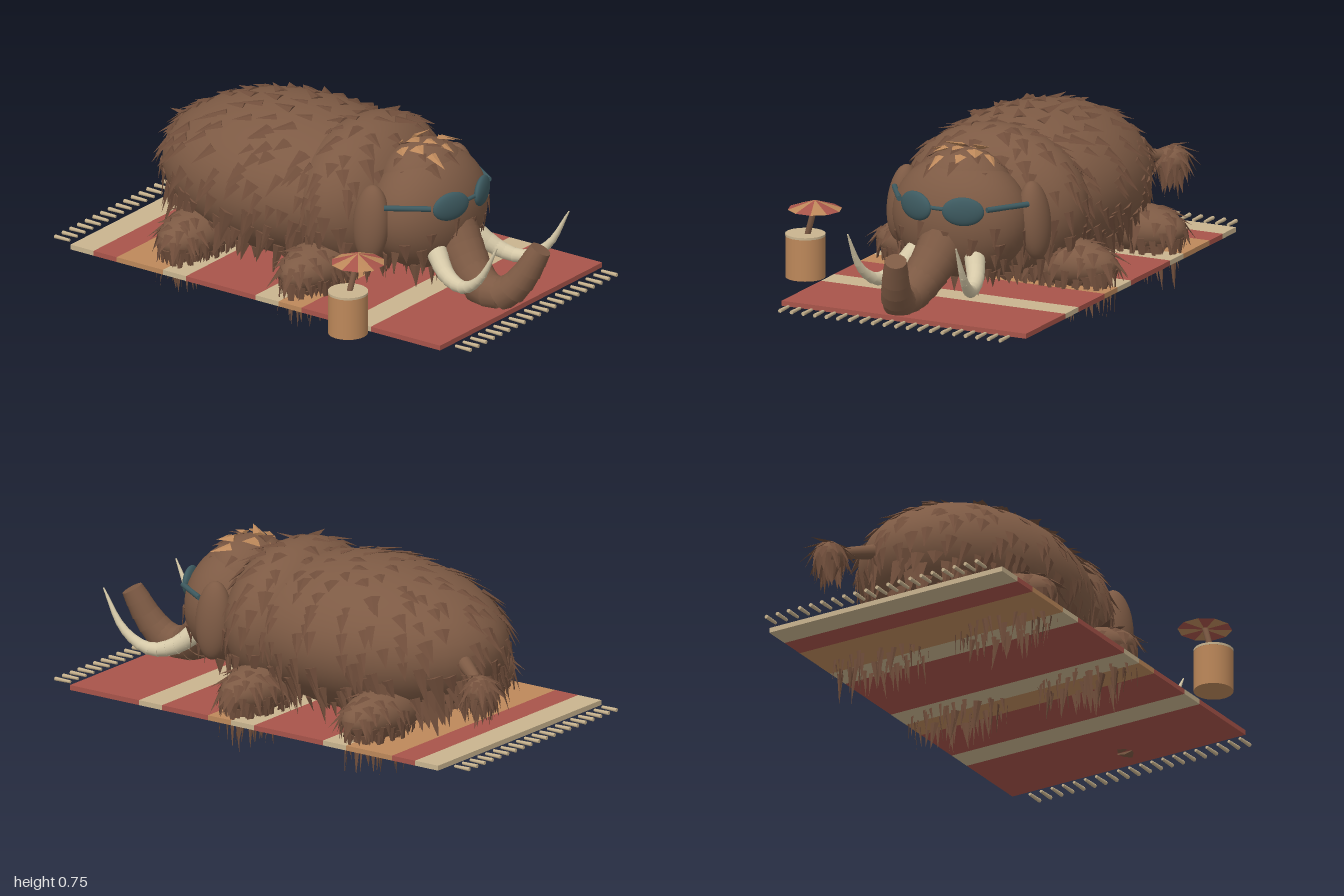
import * as THREE from 'three';
import { mergeGeometries } from 'three/addons/utils/BufferGeometryUtils.js';

const mat = (name, color) => {
  const m = new THREE.MeshStandardMaterial({ color });
  m.name = name;
  return m;
};
const V = (x, y, z) => new THREE.Vector3(x, y, z);

export function createModel() {
  const model = new THREE.Group();
  const brown = mat('brown hide', 0x7d5a44);
  const fur = mat('fur brown', 0x704e3b);
  const red = mat('blanket red', 0xa8544a);
  const beige = mat('blanket beige', 0xc9b48f);
  const orange = mat('warm orange', 0xbd885a);
  const ivory = mat('ivory', 0xd6c9a8);
  const teal = mat('dark teal', 0x3d5a60);
  const C = -0.09; // z of the animal's centre line

  let seed = 7;
  const rnd = () => (seed = (seed * 16807) % 2147483647) / 2147483647;

  const add = (name, geo, material, pos = [0, 0, 0], parent = model) => {
    const m = new THREE.Mesh(geo, material);
    m.name = name;
    m.position.set(...pos);
    parent.add(m);
    return m;
  };
  const blob = (name, pos, radii, material = brown) =>
    add(name, new THREE.SphereGeometry(1, 36, 24).scale(...radii), material, pos);

  // Cylinder running from a to b
  const rod = (a, b, ra, rb, sides = 16) => {
    const d = b.clone().sub(a);
    const g = new THREE.CylinderGeometry(rb, ra, d.length(), sides);
    g.applyQuaternion(new THREE.Quaternion().setFromUnitVectors(V(0, 1, 0), d.normalize()));
    return g.translate((a.x + b.x) / 2, (a.y + b.y) / 2, (a.z + b.z) / 2);
  };
  // Overlapping tapered rings along a curve
  const ringed = (name, points, n, r0, r1, material) => {
    const curve = new THREE.CatmullRomCurve3(points);
    const rings = [];
    for (let i = 0; i < n; i++) {
      const r = (t) => THREE.MathUtils.lerp(r0, r1, t);
      const a = curve.getPointAt(i / n), b = curve.getPointAt(Math.min(1, (i + 1.25) / n));
      rings.push(rod(a, b, r(i / n), r((i + 1) / n) * 0.94));
    }
    return add(name, mergeGeometries(rings), material);
  };

  // Flat pointed locks scattered over an ellipsoid, combed downwards
  const locks = (name, pos, radii, o) => {
    const parts = [];
    for (let i = 0; i < o.count; i++) {
      const h = 1 - (2 * (i + 0.5)) / o.count;
      const a = i * 2.39996 + rnd() * 0.5;
      const s = Math.sqrt(1 - h * h);
      const u = V(s * Math.cos(a), h, s * Math.sin(a));
      if (h < (o.from ?? -1) || h > (o.to ?? 1)) continue;
      const p = V(u.x * radii[0] + pos[0], u.y * radii[1] + pos[1], u.z * radii[2] + pos[2]);
      const n = V(u.x / radii[0], u.y / radii[1], u.z / radii[2]).normalize();
      const g = V(o.sweep ?? -0.3, -1, (rnd() - 0.5) * 0.4).normalize();
      const d = g.clone();
      if (n.y > -0.3) d.addScaledVector(n, -g.dot(n)).normalize().addScaledVector(n, o.lift ?? 0.16);
      d.normalize();
      let len = o.len * (0.7 + rnd() * 0.6);
      const room = (p.y - (o.floor ?? 0.15)) / Math.max(0.01, -d.y);
      if (d.y < -0.1) len = Math.min(len, room);
      if (len < 0.02) continue;
      const side = d.clone().cross(n).normalize();
      const flat = side.clone().cross(d).normalize();
      const w = o.width * (0.7 + rnd() * 0.6);
      const lock = new THREE.ConeGeometry(w, len, 4).toNonIndexed();
      lock.scale(1, 1, 0.28).translate(0, len / 2, 0);
      lock.applyMatrix4(new THREE.Matrix4().makeBasis(side, d, flat).setPosition(p));
      lock.computeVertexNormals();
      parts.push(lock);
    }
    return add(name, mergeGeometries(parts), o.material ?? fur);
  };

  // Striped blanket: colour and width in units of one sixteenth
  const stripes = [[beige, 1], [red, 1], [orange, 2], [beige, 1], [red, 3],
    [beige, 1], [orange, 1], [red, 2], [beige, 1], [red, 3]];
  const unit = 1.764 / 16;
  let x = -0.89;
  for (const [material, k] of stripes) {
    const w = k * unit;
    add('blanketStripe', new THREE.BoxGeometry(w, 0.02, 1.06), material, [x + w / 2, 0.14, -0.075]);
    x += w;
  }
  // Tassels at both ends
  const tassels = [];
  for (let i = 0; i < 20; i++) {
    const z = -0.55 + i * 0.0503;
    tassels.push(rod(V(-0.93, 0.142, z), V(-1, 0.142, z), 0.006, 0.008, 6));
    tassels.push(rod(V(0.912, 0.142, z), V(0.985, 0.142, z), 0.006, 0.008, 6));
  }
  add('tassels', mergeGeometries(tassels), beige);

  // Body, shoulders and head with their coats
  const body = [[-0.2, 0.44, C], [0.58, 0.3, 0.41]];
  const shoulder = [[0.14, 0.45, C - 0.01], [0.24, 0.3, 0.38]];
  const head = [[0.42, 0.45, C], [0.2, 0.24, 0.28]];
  const crown = [[0.4, 0.55, C], [0.16, 0.165, 0.2]];
  blob('body', ...body);
  blob('shoulders', ...shoulder);
  blob('head', ...head);
  blob('crown', ...crown);
  locks('bodyFur', ...body, { count: 330, len: 0.085, width: 0.026 });
  locks('bellyFur', ...body, { count: 330, len: 0.13, width: 0.028, from: -0.6, to: -0.05, floor: 0.14 });
  locks('shoulderFur', ...shoulder, { count: 190, len: 0.09, width: 0.026, sweep: 0 });
  locks('headFur', ...head, { count: 90, len: 0.08, width: 0.022, sweep: 0, to: 0.1, lift: 0.08 });
  locks('crownFur', ...crown, { count: 50, len: 0.06, width: 0.022, sweep: 0.3, from: 0.35 });
  locks('forelock', [0.4, 0.555, C], [0.16, 0.168, 0.2],
    { count: 90, len: 0.07, width: 0.026, sweep: 0.6, from: 0.78, lift: 0.12, material: orange });

  // Sprawled legs with long hanging fur
  for (const [lx, label] of [[-0.46, 'hindLeg'], [0.12, 'frontLeg']]) {
    for (const s of [-1, 1]) {
      const leg = [[lx, 0.235, C + s * 0.29], [0.115, 0.095, 0.225]];
      blob(label, ...leg);
      locks(label + 'Fur', ...leg, { count: 110, len: 0.075, width: 0.02, sweep: 0, to: 0.9 });
      locks(label + 'Fringe', ...leg,
        { count: 100, len: 0.15, width: 0.017, sweep: 0, to: -0.15, floor: 0.004 });
    }
  }

  // Ears
  for (const s of [-1, 1]) {
    const ear = blob('ear', [0.355, 0.45, C + s * 0.285], [0.075, 0.155, 0.06]);
    ear.rotation.x = -s * 0.1;
  }

  // Tail with a tufted end
  add('tail', rod(V(-0.7, 0.45, -0.2), V(-0.88, 0.4, -0.32), 0.032, 0.02), brown);
  const puff = [[-0.89, 0.385, -0.33], [0.062, 0.058, 0.06]];
  blob('tailTuft', ...puff);
  locks('tailTuftFur', ...puff, { count: 60, len: 0.08, width: 0.018, sweep: 0 });

  // Trunk resting on the blanket and curling up
  ringed('trunk', [V(0.53, 0.4, C), V(0.62, 0.29, -0.06), V(0.71, 0.21, -0.03),
    V(0.81, 0.19, -0.025), V(0.89, 0.26, -0.05), V(0.96, 0.395, -0.085)], 12, 0.1, 0.045, brown);

  // Tusks
  for (const s of [-1, 1]) {
    ringed('tusk', [V(0.54, 0.34, C + s * 0.12), V(0.63, 0.265, C + s * 0.17),
      V(0.73, 0.245, C + s * 0.2), V(0.83, 0.31, C + s * 0.225),
      V(0.92, 0.465, C + s * 0.235)], 14, 0.043, 0.003, ivory);
  }

  // Sunglasses
  for (const s of [-1, 1]) {
    const lens = blob('sunglassLens', [0.602, 0.52, C + s * 0.102], [0.022, 0.057, 0.082], teal);
    lens.rotation.y = -s * 0.35;
    add('sunglassArm', rod(V(0.572, 0.53, C + s * 0.19), V(0.42, 0.53, C + s * 0.29), 0.011, 0.011, 8), teal);
  }
  add('sunglassBridge', rod(V(0.62, 0.525, C - 0.04), V(0.62, 0.525, C + 0.04), 0.008, 0.008, 8), teal);

  // Drink with a paper parasol
  const drink = new THREE.Group();
  drink.name = 'drink';
  model.add(drink);
  add('cup', new THREE.CylinderGeometry(0.077, 0.077, 0.165, 28), orange, [0.5, 0.2275, 0.545], drink);
  add('cupRim', new THREE.CylinderGeometry(0.078, 0.078, 0.009, 28), beige, [0.5, 0.3145, 0.545], drink);
  add('parasolStick', rod(V(0.5, 0.3, 0.54), V(0.51, 0.44, 0.497), 0.012, 0.012, 10), brown, [0, 0, 0], drink);
  for (let i = 0; i < 10; i++) {
    const slice = new THREE.ConeGeometry(0.106, 0.036, 1, 1, false, i * Math.PI / 5, Math.PI / 5);
    add('parasolSlice', slice, i % 2 ? orange : red, [0.513, 0.443, 0.497], drink);
  }
  return model;
}
